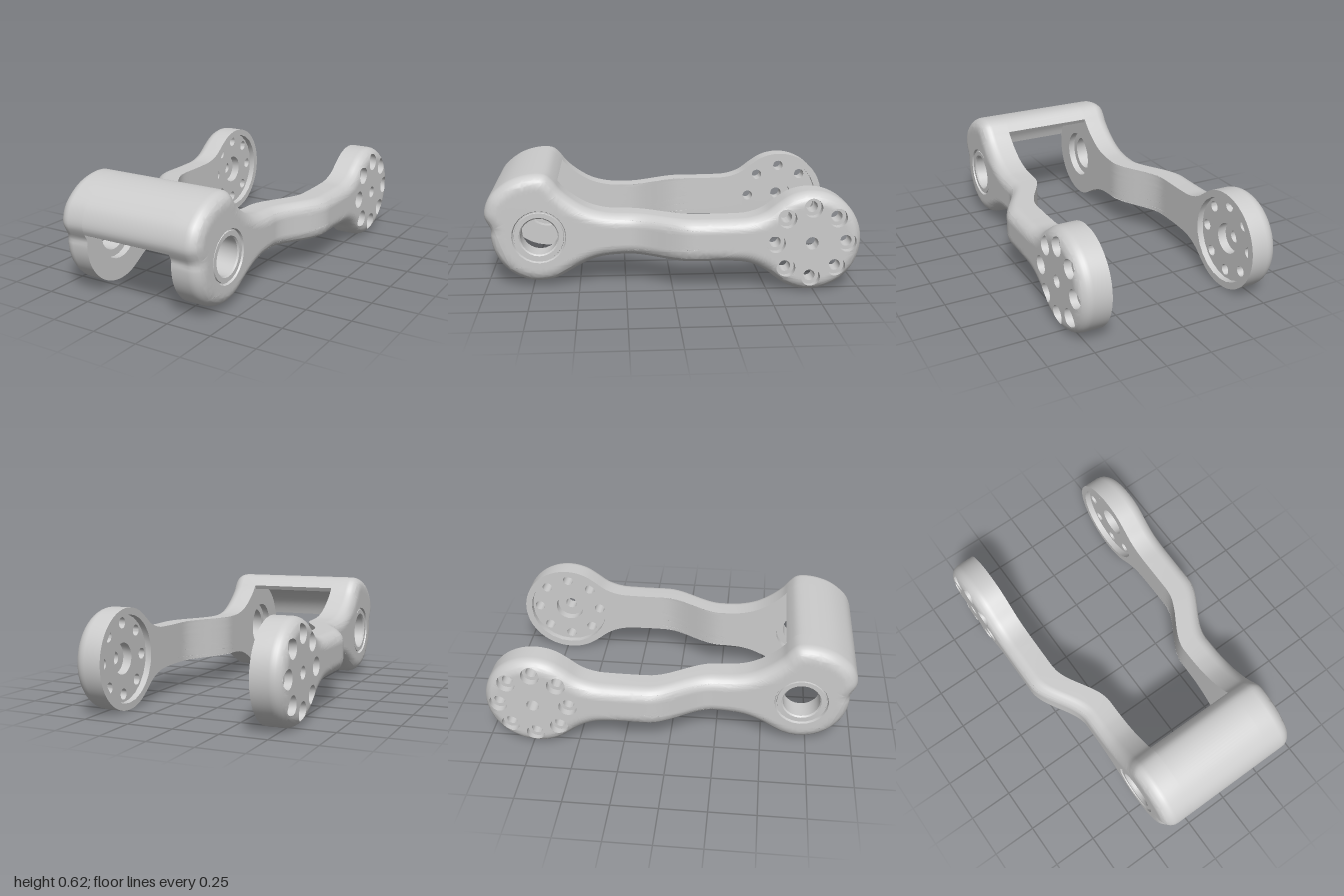
import * as THREE from 'three';
import { mergeVertices, toCreasedNormals } from 'three/addons/utils/BufferGeometryUtils.js';

const V = (u, v) => new THREE.Vector2(u, v); // u runs along z, v along y
const EYE = V(0.71, 0.29), HORN = V(-0.727, 0.275);
const THICK = 0.165, ROUND = 0.07;
const material = new THREE.MeshStandardMaterial({ color: 0xcccccc, side: THREE.DoubleSide });

function arc(c, r, fromDeg, toDeg, n) {
  return Array.from({ length: n + 1 }, (_, i) => {
    const a = THREE.MathUtils.degToRad(fromDeg + (toDeg - fromDeg) * i / n);
    return V(c.x + r * Math.cos(a), c.y + r * Math.sin(a));
  });
}
const circle = (c, r, n = 24) => arc(c, r, 0, 360, n).slice(0, n);
const pts = list => list.map(([u, v]) => V(u, v));

// Side outline of an arm: neck, pivot eye, crossbar shoulder, neck, round horn plate
const controls = [
  ...pts([[-0.3, 0.168], [0, 0.168], [0.3, 0.169], [0.4, 0.155], [0.49, 0.118]]),
  ...arc(EYE, 0.26, -125, 0, 9),
  ...pts([[0.967, 0.32], [0.985, 0.357], [1, 0.395], [0.996, 0.44], [0.97, 0.5], [0.925, 0.547],
    [0.865, 0.588], [0.79, 0.615], [0.71, 0.624], [0.665, 0.615], [0.627, 0.58], [0.592, 0.535],
    [0.52, 0.475], [0.44, 0.43], [0.36, 0.408], [0.3, 0.402], [0, 0.4], [-0.3, 0.4], [-0.4, 0.406], [-0.48, 0.432]]),
  ...arc(HORN, 0.272, 50, 310, 18),
  ...pts([[-0.48, 0.122], [-0.4, 0.157]]),
];
const outline = new THREE.CatmullRomCurve3(controls.map(p => new THREE.Vector3(p.x, p.y, 0)), true)
  .getSpacedPoints(280).slice(0, 280).map(p => V(p.x, p.y));

function inset(points, d) {
  const n = points.length;
  return points.map((p, i) => {
    const t = points[(i + 1) % n].clone().sub(points[(i + n - 1) % n]).normalize();
    return V(p.x - t.y * d, p.y + t.x * d);
  });
}

function distanceToOutline(u, v) {
  let best = Infinity;
  outline.forEach((a, i) => {
    const b = outline[(i + 1) % outline.length];
    const du = b.x - a.x, dv = b.y - a.y;
    const t = THREE.MathUtils.clamp(((u - a.x) * du + (v - a.y) * dv) / (du * du + dv * dv), 0, 1);
    best = Math.min(best, Math.hypot(u - a.x - t * du, v - a.y - t * dv));
  });
  return best;
}

// S-bend of the arm, and the outer surface with its rounded rim
const outerX = u => 0.425 + 0.145 * (1 - THREE.MathUtils.smoothstep(u, -0.12, 0.24));
const innerX = u => outerX(u) - THICK;
function surfaceX(u, v) {
  const k = Math.max(0, ROUND - distanceToOutline(u, v));
  return outerX(u) - ROUND + Math.sqrt(Math.max(0, ROUND * ROUND - k * k));
}

const place = (p, x) => [typeof x === 'function' ? x(p.x, p.y) : x, p.y, p.x];

function toGeometry(positions) {
  const g = new THREE.BufferGeometry();
  g.setAttribute('position', new THREE.Float32BufferAttribute(positions, 3));
  return g;
}
function smooth(positions) {
  const g = mergeVertices(toGeometry(positions), 1e-5);
  g.computeVertexNormals();
  return g;
}

// Quads between two rings of equal count
function strip(out, A, xa, B, xb) {
  const a = A.map(p => place(p, xa)), b = B.map(p => place(p, xb)), n = a.length;
  for (let i = 0; i < n; i++) {
    const j = (i + 1) % n;
    out.push(...a[i], ...a[j], ...b[j], ...a[i], ...b[j], ...b[i]);
  }
}

// Filled outline with holes, finely divided so that it can follow x(u, v)
function face(out, border, holes, x, maxEdge, facesOut) {
  const all = [border, ...holes].flat();
  const split = (a, b, c) => {
    const ab = a.distanceTo(b), bc = b.distanceTo(c), ca = c.distanceTo(a);
    const longest = Math.max(ab, bc, ca);
    if (longest <= maxEdge) {
      const tri = facesOut ? [a, c, b] : [a, b, c];
      tri.forEach(p => out.push(...place(p, x)));
    } else if (longest === ab) {
      const m = a.clone().lerp(b, 0.5); split(a, m, c); split(m, b, c);
    } else if (longest === bc) {
      const m = b.clone().lerp(c, 0.5); split(a, b, m); split(a, m, c);
    } else {
      const m = c.clone().lerp(a, 0.5); split(a, b, m); split(m, b, c);
    }
  };
  for (const [i, j, k] of THREE.ShapeUtils.triangulateShape(border, holes)) {
    const [a, b, c] = [all[i], all[j], all[k]];
    const ccw = (b.x - a.x) * (c.y - a.y) - (b.y - a.y) * (c.x - a.x) > 0;
    split(a, ccw ? b : c, ccw ? c : b);
  }
}

// Stepped round hole from [radius, x] pairs
function bore(c, steps) {
  const out = [];
  for (let i = 1; i < steps.length; i++) {
    strip(out, circle(c, steps[i - 1][0]), steps[i - 1][1], circle(c, steps[i][0]), steps[i][1]);
  }
  return toCreasedNormals(toGeometry(out), 0.6);
}

function add(group, name, geometry) {
  const mesh = new THREE.Mesh(geometry, material);
  mesh.name = name;
  group.add(mesh);
}

function createArm(name) {
  const arm = new THREE.Group();
  arm.name = name;
  const bolts = circle(HORN, 0.19, 8);

  // Rounded outer shell
  const shell = [];
  const insets = [0.026, 0.015, 0.007, 0.002, 0];
  const rings = insets.map(d => d ? inset(outline, d) : outline);
  face(shell, rings[0], [circle(EYE, 0.145), circle(HORN, 0.034), ...bolts.map(b => circle(b, 0.05))],
    surfaceX, 0.028, true);
  for (let i = 1; i < rings.length; i++) strip(shell, rings[i - 1], surfaceX, rings[i], surfaceX);
  strip(shell, outline, surfaceX, outline, innerX);
  add(arm, 'armShell', smooth(shell));

  // Flat inner side
  const inner = [];
  face(inner, outline, [circle(EYE, 0.14), circle(HORN, 0.235)], innerX, 0.05, false);
  add(arm, 'armInnerFace', smooth(inner));

  // Pivot bearing seat
  add(arm, 'pivotBore', bore(EYE, [[0.14, 0.26], [0.14, 0.3], [0.1, 0.3], [0.1, 0.412],
    [0.107, 0.42], [0.132, 0.42], [0.134, 0.412], [0.14, 0.412], [0.145, 0.425]]));

  // Recess, centre hole and bolt holes of the horn plate
  add(arm, 'hornRecessWall', bore(HORN, [[0.235, 0.405], [0.235, 0.44]]));
  const floor = [];
  face(floor, circle(HORN, 0.235), [circle(HORN, 0.085), ...bolts.map(b => circle(b, 0.03))], 0.44, 1, false);
  add(arm, 'hornRecessFloor', smooth(floor));
  add(arm, 'hornCentreBore', bore(HORN, [[0.085, 0.44], [0.085, 0.49], [0.034, 0.49], [0.034, 0.57]]));
  bolts.forEach(b => add(arm, 'boltHole', bore(b, [[0.03, 0.44], [0.03, 0.53], [0.05, 0.53], [0.05, surfaceX]])));
  return arm;
}

export function createModel() {
  const model = new THREE.Group();
  model.name = 'armBracket';

  const left = createArm('leftArm');
  const right = left.clone();
  right.name = 'rightArm';
  right.scale.x = -1;
  model.add(left, right);

  // Curved crossbar joining the shoulders of both arms
  const top = outline.filter(p => p.x > 0.605 && p.y > 0.345);
  const section = new THREE.Shape([...top, ...arc(EYE, 0.262, 109, 13, 14)]);
  const bar = new THREE.ExtrudeGeometry(section, { depth: 0.52, bevelEnabled: false, steps: 1 });
  bar.translate(0, 0, -0.26);
  bar.rotateY(-Math.PI / 2); // profile u to +z, depth to -x
  add(model, 'crossbar', toCreasedNormals(bar, 0.6));
  return model;
}
